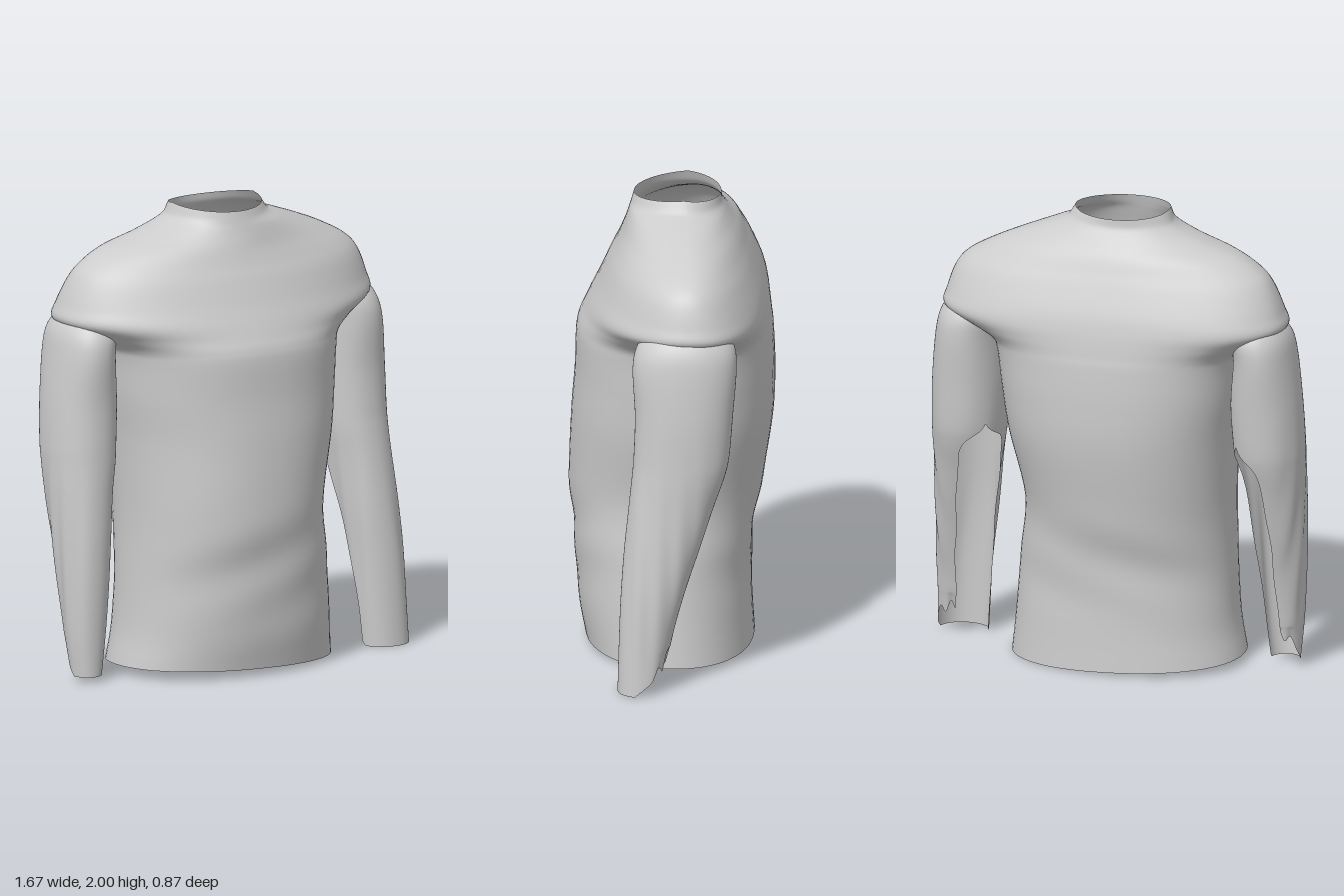
import * as THREE from 'three';
import { mergeVertices } from 'three/addons/utils/BufferGeometryUtils.js';

const material = new THREE.MeshStandardMaterial({ color: 0xcccccc, side: THREE.DoubleSide });

// Cloth surface through smoothly interpolated horizontal rings.
// Row: [y, xMin, xMax, zFront, zBack, zSide, front roundness, back roundness, gap half-angle]
function loft(name, rows, gapCentre, adjust, steps = 6, segments = 72) {
  const spline = new THREE.CubicInterpolant(rows.map((_, i) => i), rows.flat(), rows[0].length);
  const rings = (rows.length - 1) * steps;
  const positions = [], index = [];
  for (let i = 0; i <= rings; i++) {
    const [y, x0, x1, zf, zb, zc, frontPower, backPower, rawGap] = Array.from(spline.evaluate(i / steps));
    const gap = Math.max(0, rawGap);
    for (let j = 0; j <= segments; j++) {
      const turn = j === segments && gap < 1e-4 ? 0 : j / segments;
      const a = gapCentre + gap + turn * (Math.PI * 2 - 2 * gap);
      const c = Math.cos(a), s = Math.sin(a);
      const power = s > 0 ? frontPower : backPower;
      const p = new THREE.Vector3(
        (x0 + x1) / 2 + (x1 - x0) / 2 * Math.sign(c) * Math.abs(c) ** (2 / power),
        y,
        zc + (s > 0 ? zf - zc : zc - zb) * Math.sign(s) * Math.abs(s) ** (2 / power));
      adjust(p, i / rings, s);
      positions.push(p.x, p.y, p.z);
      if (i < rings && j < segments) {
        const k = i * (segments + 1) + j, n = k + segments + 1;
        index.push(k, n, k + 1, k + 1, n, n + 1);
      }
    }
  }
  let geometry = new THREE.BufferGeometry();
  geometry.setAttribute('position', new THREE.Float32BufferAttribute(positions, 3));
  geometry.setIndex(index);
  geometry = mergeVertices(geometry, 1e-5);
  geometry.computeVertexNormals();
  const mesh = new THREE.Mesh(geometry, material);
  mesh.name = name;
  return mesh;
}

const bump = (v, centre, width) => Math.exp(-(((v - centre) / width) ** 2));

// Body from hem to collar, widening into the shoulders above the armpits
function createBody() {
  const rows = [
    [0.03, -0.55, 0.46, 0.365, -0.35, 0.00, 2.2, 2.2],
    [0.20, -0.52, 0.44, 0.395, -0.34, 0.00, 2.2, 2.2],
    [0.45, -0.505, 0.42, 0.41, -0.34, 0.00, 2.2, 2.2],
    [0.70, -0.50, 0.395, 0.435, -0.385, -0.01, 2.2, 2.2],
    [1.00, -0.515, 0.455, 0.425, -0.43, -0.04, 2.2, 2.3],
    [1.20, -0.54, 0.48, 0.41, -0.437, -0.06, 2.25, 2.4],
    [1.36, -0.555, 0.495, 0.405, -0.43, -0.08, 2.3, 2.5],
    [1.42, -0.58, 0.52, 0.395, -0.422, -0.085, 2.25, 2.6],
    [1.47, -0.66, 0.61, 0.373, -0.415, -0.09, 2.1, 2.6],
    [1.53, -0.765, 0.728, 0.345, -0.404, -0.095, 2, 2.6],
    [1.60, -0.752, 0.72, 0.31, -0.385, -0.10, 2, 2.5],
    [1.70, -0.71, 0.684, 0.265, -0.345, -0.10, 2, 2.3],
    [1.76, -0.665, 0.63, 0.235, -0.318, -0.10, 1.95, 2.1],
    [1.82, -0.57, 0.52, 0.21, -0.29, -0.10, 1.9, 2],
    [1.87, -0.42, 0.40, 0.193, -0.258, -0.09, 1.9, 1.9],
    [1.91, -0.31, 0.29, 0.18, -0.232, -0.08, 2, 2],
    [1.94, -0.26, 0.21, 0.17, -0.215, -0.07, 2, 2],
    [1.975, -0.235, 0.17, 0.16, -0.21, -0.06, 2, 2],
  ].map(r => [...r, 0]);
  return loft('body', rows, -Math.PI / 2, (p, t, s) => {
    // Uneven hem and raised collar sides
    p.y += bump(p.y, 0.03, 0.1) * (-0.035 * p.x + 0.01 * s - 0.01);
    if (t > 0.95) p.y += (t - 0.95) * 20 * 0.02 * (1 - Math.abs(s));
    // Soft folds around the waist
    p.z += 0.006 * s * bump(p.y, 0.48, 0.2) * Math.sin(p.y * 20 - p.x * 7);
  });
}

// Sleeve rows: [y, inner x, outer x, zFront, zBack, gap half-angle]
const leftRows = [
  [0.00, 0.615, 0.832, 0.20, 0.00, 0.82],
  [0.20, 0.60, 0.825, 0.195, -0.025, 0.82],
  [0.40, 0.58, 0.82, 0.188, -0.075, 0.80],
  [0.60, 0.55, 0.81, 0.175, -0.14, 0.78],
  [0.80, 0.52, 0.80, 0.155, -0.205, 0.75],
  [0.93, 0.495, 0.797, 0.142, -0.25, 0.62],
  [1.02, 0.485, 0.795, 0.135, -0.27, 0],
  [1.20, 0.48, 0.79, 0.13, -0.285, 0],
  [1.40, 0.485, 0.772, 0.14, -0.30, 0],
  [1.50, 0.48, 0.748, 0.12, -0.29, 0],
  [1.57, 0.49, 0.70, 0.06, -0.24, 0],
  [1.62, 0.52, 0.65, 0.00, -0.19, 0],
];
// Right sleeve: inner and outer x for each row
const rightX = [
  [0.66, 0.79], [0.64, 0.808], [0.62, 0.82], [0.60, 0.83], [0.575, 0.837], [0.55, 0.84], [0.542, 0.84],
  [0.535, 0.83], [0.55, 0.805], [0.53, 0.782], [0.53, 0.73], [0.56, 0.68],
];

function createSleeve(name, side) {
  const rows = leftRows.map(([y, inner, outer, zf, zb, gap], i) => {
    if (side > 0) return [y, inner, outer, zf, zb, (zf + zb) / 2, 2.15, 2.15, gap];
    // The right arm hangs a little further back
    const shift = -0.06 * Math.max(0, 1 - y);
    const front = zf + shift - 0.04, back = zb + shift;
    return [i ? y : 0.025, -rightX[i][1], -rightX[i][0], front, back, (front + back) / 2, 2.15, 2.15, gap];
  });
  // Slit faces backward and toward the body
  const centre = side > 0 ? Math.PI * 1.25 : -Math.PI * 0.25;
  return loft(name, rows, centre, (p, t, s) => {
    // Cuff rises toward the back, with a frayed edge
    const cuff = Math.max(0, 1 - t * 11);
    p.y += cuff * Math.max(0, -s + 0.2) * (0.11 + 0.02 * Math.sin(p.x * 120));
    // Long creases down the forearm
    p.x += side * 0.004 * bump(p.y, 0.5, 0.4) * Math.sin(p.z * 70);
  });
}

export function createModel() {
  const shirt = new THREE.Group();
  shirt.name = 'longSleeveShirt';
  shirt.add(createBody(), createSleeve('leftSleeve', 1), createSleeve('rightSleeve', -1));
  return shirt;
}
